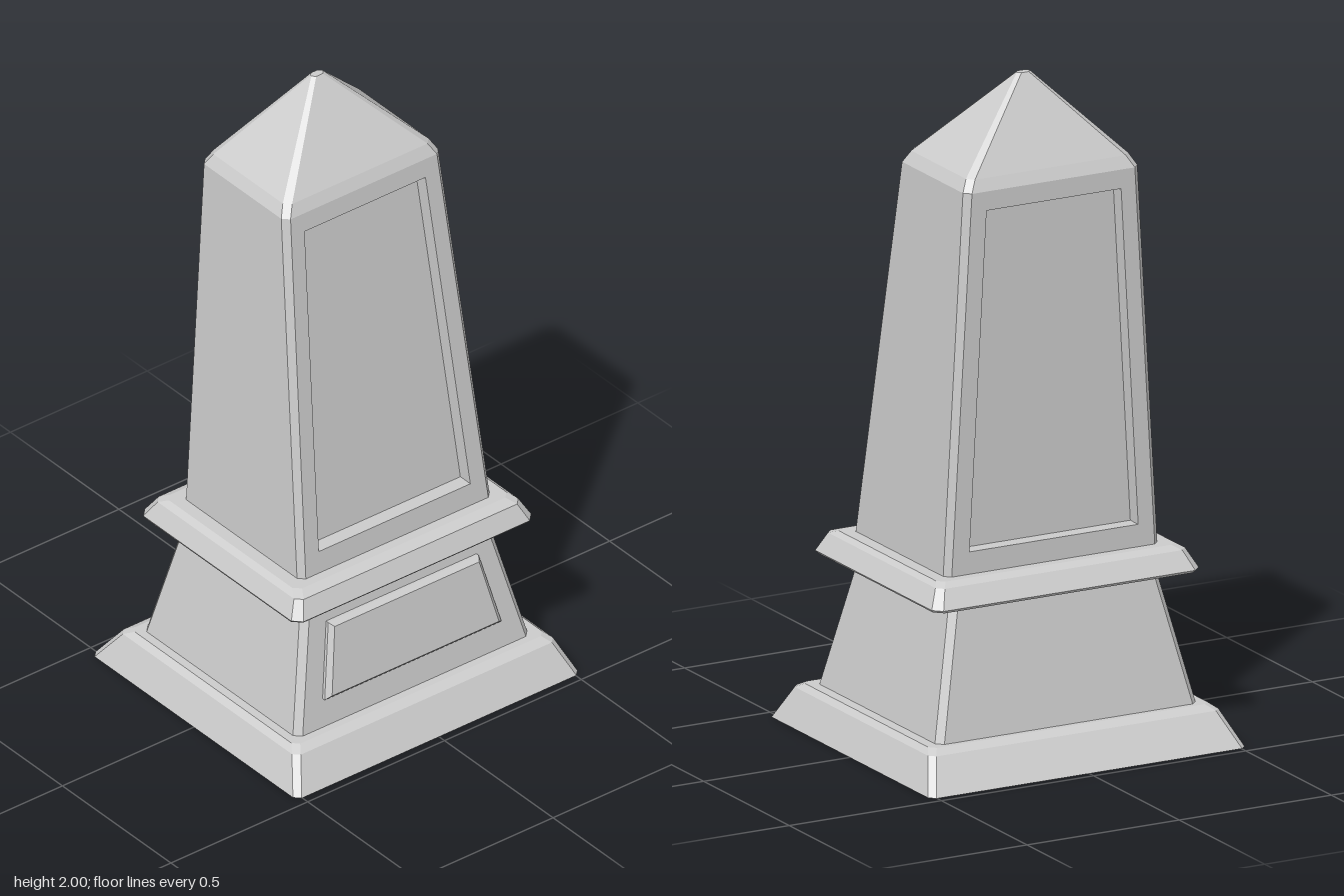
import * as THREE from 'three';

const material = new THREE.MeshStandardMaterial({ color: 0xcccccc, flatShading: true });

// Rectangle with cut corners at height y; side 0 faces +x, side 4 faces -x
function ring(y, x0, x1, z0, z1, c) {
  return [
    [x1, z1 - c], [x1, z0 + c], [x1 - c, z0], [x0 + c, z0],
    [x0, z0 + c], [x0, z1 - c], [x0 + c, z1], [x1 - c, z1],
  ].map(([x, z]) => [x, y, z]);
}

// Skins successive loops of corners; skip(level, side) leaves a side open
function skin(loops, { capStart = false, capEnd = true, skip = () => false } = {}) {
  const pos = [];
  const tri = (a, b, c) => pos.push(...a, ...b, ...c);
  const fan = (l) => { for (let i = 1; i < l.length - 1; i++) tri(l[0], l[i], l[i + 1]); };
  for (let k = 0; k < loops.length - 1; k++) {
    const a = loops[k], b = loops[k + 1];
    for (let i = 0; i < a.length; i++) {
      if (skip(k, i)) continue;
      const j = (i + 1) % a.length;
      tri(a[i], a[j], b[j]);
      tri(a[i], b[j], b[i]);
    }
  }
  if (capStart) fan([...loops[0]].reverse());
  if (capEnd) fan(loops[loops.length - 1]);
  const g = new THREE.BufferGeometry();
  g.setAttribute('position', new THREE.Float32BufferAttribute(pos, 3));
  g.computeVertexNormals();
  return g;
}

// Trapezoid on a sloping x face; s is the side (+1 or -1), out the offset from the face
function panelLoop(s, faceX, y0, y1, h0, h1, out) {
  return [[y0, h0], [y0, -h0], [y1, -h1], [y1, h1]]
    .map(([y, z]) => [faceX(y) + s * out, y, s * z]);
}

const lineX = (ya, xa, yb, xb) => (y) => xa + (xb - xa) * (y - ya) / (yb - ya);

export function createModel() {
  const model = new THREE.Group();
  const add = (name, geometry) => {
    const mesh = new THREE.Mesh(geometry, material);
    mesh.name = name;
    model.add(mesh);
  };

  // Sloping plinth on the ground
  add('plinth', skin([
    ring(0, -0.475, 0.475, -0.52, 0.52, 0.018),
    ring(0.1, -0.4, 0.415, -0.478, 0.476, 0.018),
    ring(0.115, -0.37, 0.387, -0.46, 0.456, 0.018),
  ], { capStart: true }));

  // Tapered pedestal
  add('pedestal', skin([
    ring(0.11, -0.353, 0.363, -0.428, 0.43, 0.02),
    ring(0.515, -0.277, 0.283, -0.338, 0.338, 0.02),
  ]));

  // Raised plaque on the pedestal's left side
  const pedestalX = lineX(0.11, 0.363, 0.515, 0.283);
  add('plaque', skin([
    panelLoop(1, pedestalX, 0.2, 0.425, 0.323, 0.275, -0.005),
    panelLoop(1, pedestalX, 0.2, 0.425, 0.323, 0.275, 0.01),
    panelLoop(1, pedestalX, 0.213, 0.415, 0.305, 0.264, 0.024),
  ]));

  // Projecting ledge
  add('ledge', skin([
    ring(0.508, -0.354, 0.362, -0.432, 0.432, 0.025),
    ring(0.517, -0.362, 0.37, -0.44, 0.437, 0.025),
    ring(0.571, -0.325, 0.343, -0.41, 0.41, 0.02),
    ring(0.583, -0.298, 0.31, -0.393, 0.39, 0.02),
  ], { capStart: true }));

  // Shaft and pyramid tip, with the two x faces left open for the panels
  const foot = ring(0.575, -0.268, 0.28, -0.354, 0.35, 0.018);
  const shoulder = ring(1.72, -0.268, 0.126, -0.288, 0.285, 0.019);
  add('shaft', skin([
    foot,
    shoulder,
    ring(1.755, -0.25, 0.108, -0.268, 0.265, 0.019),
    ring(2, -0.1, -0.076, -0.022, 0.022, 0.01),
  ], { skip: (k, i) => k === 0 && (i === 0 || i === 4) }));

  // Recessed panels: frame, reveal and floor
  for (const [name, s, i] of [['leftPanel', 1, 0], ['rightPanel', -1, 4]]) {
    const faceX = lineX(0.575, foot[i][0], 1.72, shoulder[i][0]);
    add(name, skin([
      [foot[i], foot[i + 1], shoulder[i + 1], shoulder[i]],
      panelLoop(s, faceX, 0.65, 1.663, 0.277, 0.221, 0),
      panelLoop(s, faceX, 0.65, 1.663, 0.277, 0.221, -0.046),
    ]));
  }

  return model;
}
